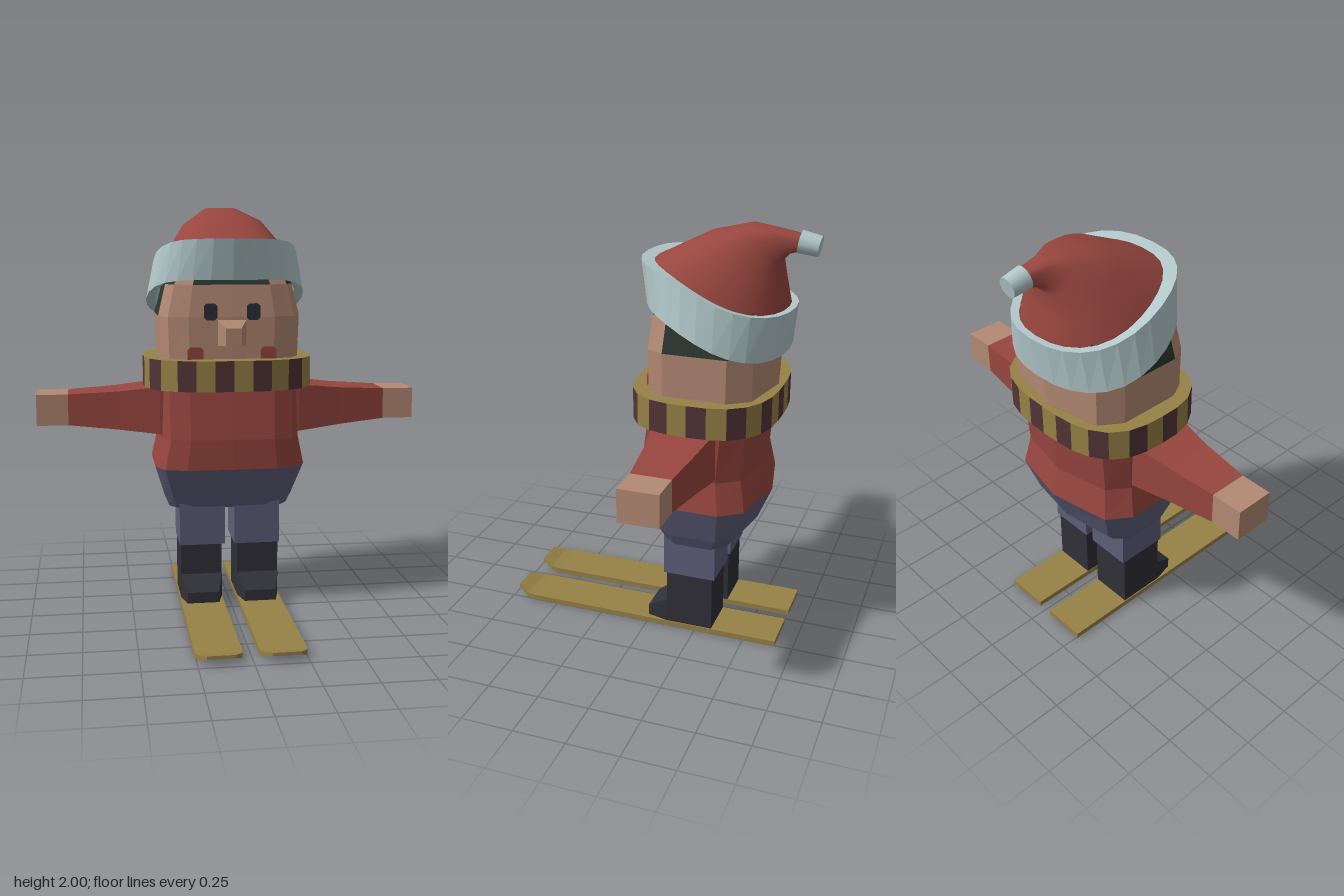
import * as THREE from 'three';
import { mergeVertices } from 'three/addons/utils/BufferGeometryUtils.js';

const V = (x, y, z) => new THREE.Vector3(x, y, z);
const colour = (name, color, side = THREE.FrontSide) => {
  const m = new THREE.MeshStandardMaterial({ color, side });
  m.name = name;
  return m;
};

// Joins rings of points; pick(i, j) gives the material of each strip quad.
function loft(name, rings, pick, smooth = false) {
  const buckets = new Map();
  const choose = typeof pick === 'function' ? pick : () => pick;
  const n = rings[0].length;
  for (let i = 0; i < rings.length - 1; i++) {
    for (let j = 0; j < n; j++) {
      const k = (j + 1) % n;
      const a = rings[i][j], b = rings[i][k], c = rings[i + 1][k], d = rings[i + 1][j];
      const m = choose(i, j);
      if (!buckets.has(m)) buckets.set(m, []);
      const out = buckets.get(m);
      for (const [p, q, r] of [[a, b, c], [a, c, d]]) {
        if (p.distanceTo(q) > 1e-6 && q.distanceTo(r) > 1e-6 && r.distanceTo(p) > 1e-6) out.push(p, q, r);
      }
    }
  }
  let geo = new THREE.BufferGeometry();
  const all = [], mats = [];
  for (const [m, pts] of buckets) {
    geo.addGroup(all.length, pts.length, mats.length);
    mats.push(m);
    for (const p of pts) all.push(p);
  }
  geo.setFromPoints(all);
  if (smooth) geo = mergeVertices(geo);
  geo.computeVertexNormals();
  const mesh = new THREE.Mesh(geo, mats.length > 1 ? mats : mats[0]);
  mesh.name = name;
  return mesh;
}

// Collapses a ring to its centre, used for end caps.
function dot(ring) {
  const c = V(0, 0, 0);
  ring.forEach(p => c.addScaledVector(p, 1 / ring.length));
  return ring.map(() => c.clone());
}
const capped = rings => [dot(rings[0]), ...rings, dot(rings[rings.length - 1])];
const mirror = rings => rings.map(r => r.map(p => V(-p.x, p.y, p.z)).reverse());

// Body outline: half profile of (width fraction, depth fraction from the front).
const HALF = [[0, 0], [0.6, 0.005], [0.88, 0.06], [1, 0.2], [1, 0.72], [0.8, 0.9], [0, 1]];
const OUTLINE = [...HALF, ...HALF.slice(1, -1).reverse().map(([x, t]) => [-x, t])];
const section = ([y, w, zf, zb]) => OUTLINE.map(([x, t]) => V(x * w, y, zf + (zb - zf) * t));

// Wavy tilted oval, from a front and a back point.
function oval(w, zf, yf, zb, yb, n = 28) {
  return Array.from({ length: n }, (_, i) => {
    const a = (i / n) * Math.PI * 2;
    const s = Math.sin(a), t = Math.cos(a);
    return V(w * Math.sign(s) * Math.abs(s) ** 0.88,
      (yf + yb) / 2 + (yf - yb) / 2 * Math.sin(t * Math.PI / 2),
      (zf + zb) / 2 + (zf - zb) / 2 * t);
  });
}

// Four-cornered rings running along x or along z.
const ringX = (x, y0, y1, z0, z1) => [V(x, y1, z0), V(x, y1, z1), V(x, y0, z1), V(x, y0, z0)];
const ringZ = (cx, z, hx, y0, y1) => [V(cx + hx, y1, z), V(cx - hx, y1, z), V(cx - hx, y0, z), V(cx + hx, y0, z)];

// Thin plate with chamfered corners.
function plate(name, w, h, c, mat, x, y, z) {
  const X = w / 2, Y = h / 2;
  const pts = [[X - c, -Y], [X, -Y + c], [X, Y - c], [X - c, Y], [c - X, Y], [-X, Y - c], [-X, c - Y], [c - X, -Y]];
  const shape = new THREE.Shape(pts.map(p => new THREE.Vector2(...p)));
  const mesh = new THREE.Mesh(new THREE.ExtrudeGeometry(shape, { depth: 0.009, bevelEnabled: false }), mat);
  mesh.position.set(x, y, z);
  mesh.name = name;
  return mesh;
}

function box(name, x0, x1, y0, y1, z0, z1, mat) {
  const mesh = new THREE.Mesh(new THREE.BoxGeometry(x1 - x0, y1 - y0, z1 - z0), mat);
  mesh.position.set((x0 + x1) / 2, (y0 + y1) / 2, (z0 + z1) / 2);
  mesh.name = name;
  return mesh;
}

export function createModel() {
  const group = new THREE.Group();
  group.name = 'skier';
  const red = colour('red wool', 0x98463f, THREE.DoubleSide);
  const skin = colour('skin', 0xb48a74);
  const blue = colour('trouser blue', 0x5e5e7a);
  const black = colour('boot black', 0x303038);
  const gold = colour('gold', 0x978146);
  const maroon = colour('scarf maroon', 0x523436);
  const white = colour('hat trim', 0xb2c8ca);
  const hair = colour('dark hair', 0x2b362f);
  const eye = colour('eye', 0x2c303c);

  // Body stack: y, half width, front z, back z
  const rows = [
    [0.497, 0.30, -0.095, -0.435], [0.555, 0.325, -0.06, -0.49], [0.72, 0.375, 0.04, -0.56],
    [0.87, 0.343, 0.04, -0.53], [1.11, 0.35, 0.005, -0.545], [1.27, 0.345, 0, -0.57],
    [1.47, 0.352, 0, -0.575], [1.625, 0.315, -0.015, -0.56], [1.75, 0.25, -0.06, -0.52],
  ].map(section);
  group.add(loft('bodyUnderside', [dot(rows[0]), rows[0]], red));
  group.add(loft('hips', rows.slice(0, 3), blue));
  group.add(loft('sweater', rows.slice(2, 5), red));

  // Head, with hair on the sides and along the forehead
  const n = OUTLINE.length;
  group.add(loft('head', [...rows.slice(4), dot(rows[8])], (i, j) => {
    const col = Math.min(j, n - 1 - j);
    if (i >= 2 && (col === 3 || col === 4)) return hair;
    return i >= 3 && col !== 1 ? hair : skin;
  }));

  // Face
  const noseRing = (z, hx, y0, y1) => ringZ(0, z, hx, y0, y1);
  group.add(loft('nose', capped([noseRing(-0.02, 0.07, 1.33, 1.455), noseRing(0.005, 0.07, 1.33, 1.455),
    noseRing(0.065, 0.038, 1.335, 1.42)]), skin));
  for (const s of [1, -1]) {
    group.add(plate('eye', 0.065, 0.08, 0.012, eye, s * 0.105, 1.495, -0.003));
    group.add(plate('cheek', 0.078, 0.08, 0.015, red, s * 0.18, 1.285, -0.004));
  }

  // Scarf: striped band with plain top and bottom
  const pts = [];
  for (let i = 0; i < 120; i++) {
    const a = (i / 120) * Math.PI * 2, s = Math.sin(a), c = Math.cos(a), e = 2 / 2.9;
    pts.push(V(0.423 * Math.sign(s) * Math.abs(s) ** e, 0, -0.253 + 0.343 * Math.sign(c) * Math.abs(c) ** e));
  }
  const loop = new THREE.CatmullRomCurve3(pts, true).getSpacedPoints(28).slice(0, 28);
  const band = (y, k) => loop.map(p => V(p.x * k, y, -0.253 + (p.z + 0.253) * k));
  group.add(loft('scarf', [band(1.115, 0.72), band(1.115, 1), band(1.265, 1), band(1.265, 0.72)],
    (i, j) => (i === 1 && j % 2 ? maroon : gold)));

  // Hat trim: outer wall, lips and inner wall
  const trimTop = oval(0.36, 0.08, 1.845, -0.635, 1.64);
  group.add(loft('hatTrim', [
    oval(0.30, 0.01, 1.83, -0.57, 1.63), oval(0.355, -0.005, 1.66, -0.57, 1.45),
    oval(0.40, 0.045, 1.65, -0.612, 1.44), trimTop, oval(0.30, 0.02, 1.835, -0.58, 1.64),
  ], white));

  // Floppy hat with its tip bent backwards
  group.add(loft('hat', [
    oval(0.315, 0.035, 1.825, -0.605, 1.63), oval(0.225, -0.21, 1.95, -0.58, 1.76),
    oval(0.12, -0.40, 2.0, -0.567, 1.85), oval(0.06, -0.53, 1.99, -0.60, 1.885),
    oval(0.04, -0.65, 1.972, -0.65, 1.90),
  ], red, true));
  const pom = new THREE.Mesh(new THREE.CylinderGeometry(0.048, 0.054, 0.092, 12), white);
  pom.rotation.x = -Math.PI / 2 - 0.17;
  pom.position.set(0, 1.93, -0.685);
  pom.name = 'pompom';
  group.add(pom);

  // Limbs and skis, built on the left and mirrored
  for (const s of [1, -1]) {
    const side = rings => (s > 0 ? rings : mirror(rings));
    const add = (name, rings, mat) => group.add(loft(name, side(rings), mat));
    const cx = 0.145;
    add('sleeve', [
      ringX(0.26, 0.88, 1.13, -0.37, -0.07), ringX(0.35, 0.887, 1.123, -0.37, -0.07),
      ringX(0.56, 0.91, 1.10, -0.345, -0.105), ringX(0.8, 0.932, 1.086, -0.32, -0.133),
    ], red);
    add('hand', capped([ringX(0.8, 0.932, 1.086, -0.32, -0.133), ringX(0.955, 0.932, 1.086, -0.32, -0.133)]), skin);
    const [a, b] = s > 0 ? [0.025, 0.255] : [-0.255, -0.025];
    group.add(box('leg', a, b, 0.305, 0.52, -0.35, -0.092, blue));
    group.add(box('bootShaft', s * cx - 0.105, s * cx + 0.105, 0.012, 0.32, -0.337, -0.105, black));
    add('bootToe', capped([ringZ(cx, -0.12, 0.105, 0.012, 0.155), ringZ(cx, -0.1, 0.105, 0.012, 0.145),
      ringZ(cx, 0, 0.08, 0.012, 0.082)]), black);
    add('ski', capped([
      ringZ(0.147, -0.662, 0.108, 0, 0.027), ringZ(0.147, 0.63, 0.108, 0, 0.027),
      ringZ(0.147, 0.67, 0.102, 0.006, 0.03), ringZ(0.147, 0.735, 0.065, 0.033, 0.048),
    ]), gold);
  }
  return group;
}
